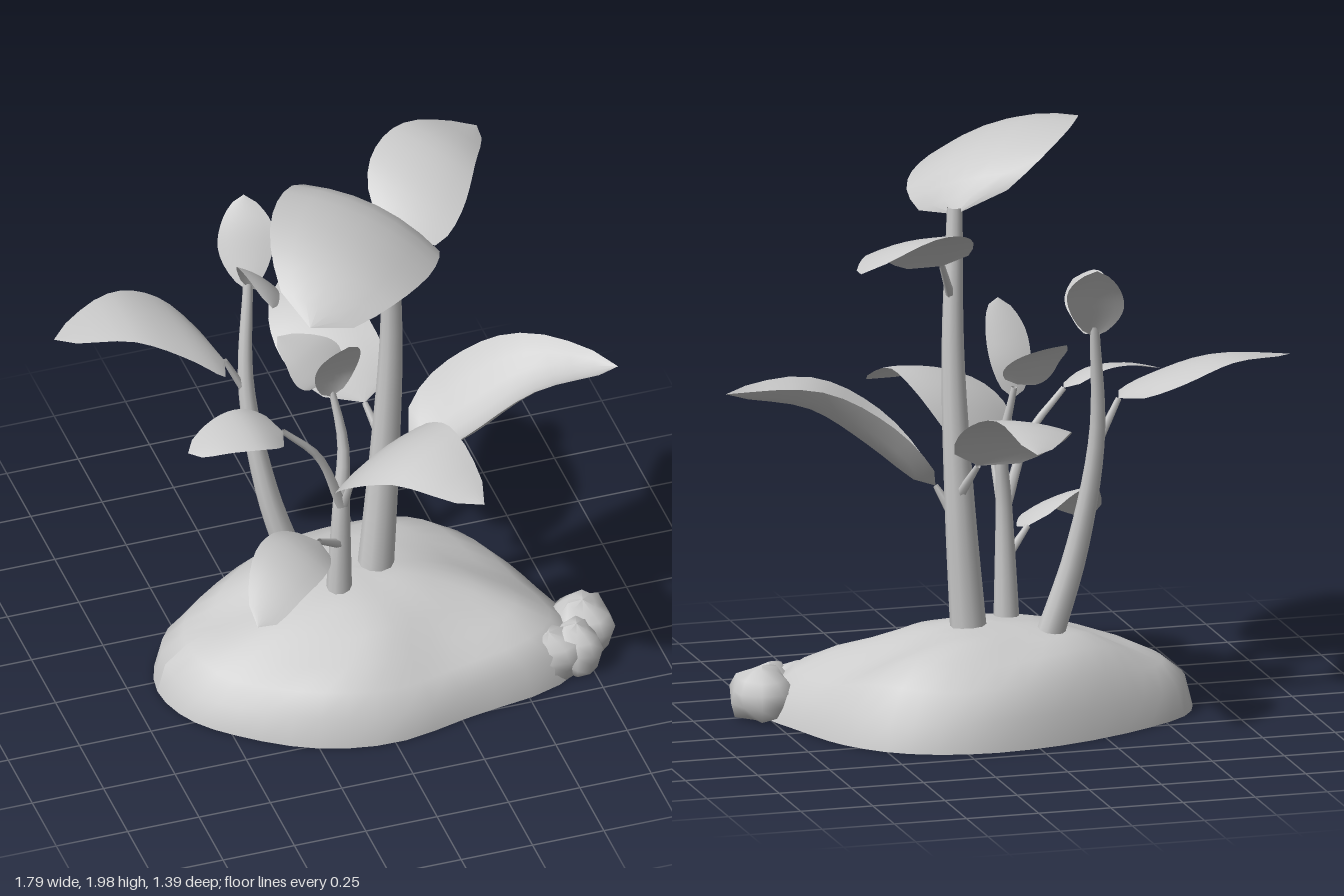
import * as THREE from 'three';

const material = new THREE.MeshStandardMaterial({ color: 0xcccccc, side: THREE.DoubleSide });
const vec = (p) => new THREE.Vector3(...p);
const curveOf = (points) => new THREE.CatmullRomCurve3(points.map(vec));

function mesh(name, geometry) {
  const m = new THREE.Mesh(geometry, material);
  m.name = name;
  return m;
}

// Surface from rows of points; every row has the same length
function loft(rows) {
  const n = rows[0].length;
  const index = [];
  for (let i = 0; i < rows.length - 1; i++) {
    for (let j = 0; j < n - 1; j++) {
      const a = i * n + j;
      index.push(a, a + 1, a + n, a + 1, a + n + 1, a + n);
    }
  }
  const g = new THREE.BufferGeometry().setFromPoints(rows.flat());
  g.setIndex(index);
  g.computeVertexNormals();
  return g;
}

// Round stalk tapering from r0 to r1
function stalk(points, r0, r1, segments = 12, sides = 8) {
  const curve = curveOf(points);
  const g = new THREE.TubeGeometry(curve, segments, 1, sides);
  const pos = g.attributes.position;
  const p = new THREE.Vector3();
  for (let i = 0; i < pos.count; i++) {
    const t = Math.floor(i / (sides + 1)) / segments;
    const c = curve.getPointAt(t);
    p.fromBufferAttribute(pos, i).sub(c).multiplyScalar(r0 + (r1 - r0) * t).add(c);
    pos.setXYZ(i, p.x, p.y, p.z);
  }
  return g;
}

// Blade along a midrib; half is the vector from midrib to one edge.
// A lower peak moves the widest part to the base, a lower blunt fills the ends,
// a positive fold domes the blade and a negative one cups it.
function blade(mid, half, peak, blunt, fold) {
  const curve = curveOf(mid);
  const side = vec(half);
  const rows = [];
  for (let i = 0; i <= 12; i++) {
    const t = i / 12;
    const w = Math.pow(Math.max(0, Math.sin(Math.PI * Math.pow(t, peak))), blunt);
    const up = new THREE.Vector3().crossVectors(curve.getTangent(t), side).normalize();
    if (up.y < 0) up.negate();
    const row = [];
    for (let j = -3; j <= 3; j++) {
      const u = j / 3;
      row.push(curve.getPoint(t)
        .addScaledVector(side, w * u)
        .addScaledVector(up, fold * side.length() * w * (1 - 2 * u * u)));
    }
    rows.push(row);
  }
  return loft(rows);
}

function leaf(name, { petiole = [], mid, half, peak = 0.68, blunt = 0.65, fold = 0.05, r = 0.016 }) {
  const g = new THREE.Group();
  g.name = name;
  g.add(mesh('blade', blade(mid, half, peak, blunt, fold)));
  if (petiole.length) g.add(mesh('petiole', stalk([...petiole, mid[0]], r, 0.01, 8, 6)));
  return g;
}

// Hollow soil mound, open underneath: sloping in front, fuller at the back
function mound() {
  const outline = new THREE.CatmullRomCurve3([
    [-0.66, 0.05], [-0.61, 0.23], [-0.47, 0.38], [-0.25, 0.52], [0, 0.57], [0.3, 0.51],
    [0.62, 0.44], [0.76, 0.3], [0.69, 0], [0.61, -0.2], [0.46, -0.36], [0.22, -0.44],
    [-0.08, -0.41], [-0.4, -0.28], [-0.6, -0.13],
  ].map(([x, z]) => new THREE.Vector3(x, 0, z)), true);
  // Scale of the outline, height in front, height at the back
  const profile = [[0, 0.33, 0.33], [0.2, 0.325, 0.328], [0.35, 0.305, 0.325], [0.52, 0.26, 0.31],
    [0.7, 0.21, 0.27], [0.85, 0.16, 0.2], [0.96, 0.1, 0.1], [1, 0, 0]];
  const rows = profile.map(([s, front, back]) => {
    const row = [];
    for (let j = 0; j <= 40; j++) {
      const p = outline.getPoint((j % 40) / 40);
      const b = THREE.MathUtils.smoothstep(-p.z, -0.05, 0.38);
      const bump = front > 0 && s > 0.5 ? 0.008 * Math.sin(j * Math.PI / 4 + s * 9) : 0;
      row.push(new THREE.Vector3(0.03 + (p.x - 0.03) * s,
        front + (back - front) * b + bump, 0.02 + (p.z - 0.02) * s));
    }
    return row;
  });
  return loft(rows);
}

// Lumpy stone with its underside cut flat at the ground
function stone(at, size) {
  const g = new THREE.SphereGeometry(1, 10, 7);
  const pos = g.attributes.position;
  for (let i = 0; i < pos.count; i++) {
    const [x, y, z] = [pos.getX(i), pos.getY(i), pos.getZ(i)];
    const k = 1 + 0.1 * Math.sin(4 * x + 3 * y + 5 * z);
    pos.setXYZ(i, at[0] + x * k * size[0], Math.max(0, at[1] + y * k * size[1]), at[2] + z * k * size[2]);
  }
  g.computeVertexNormals();
  return g;
}

export function createModel() {
  const model = new THREE.Group();
  model.name = 'plantOnMound';
  model.add(mesh('soilMound', mound()));

  // Stones at the mound's left front edge
  [[[0.61, 0.06, 0.35], [0.14, 0.095, 0.095]],
   [[0.765, 0.075, 0.24], [0.11, 0.1, 0.125]],
   [[0.71, 0.06, 0.34], [0.09, 0.1, 0.1]]].forEach(([at, size], i) => {
    model.add(mesh(`stone${i + 1}`, stone(at, size)));
  });

  // Three main stems
  model.add(
    mesh('tallStem', stalk([[0.115, 0.27, 0.01], [0.15, 0.75, 0.005], [0.168, 1.25, 0.022],
      [0.155, 1.75, 0.045]], 0.062, 0.026, 16, 10)),
    mesh('bentStem', stalk([[-0.125, 0.27, -0.09], [-0.215, 0.6, -0.135], [-0.265, 1.0, -0.2],
      [-0.24, 1.39, -0.255]], 0.048, 0.016, 16, 10)),
    mesh('frontStem', stalk([[-0.04, 0.27, 0.095], [-0.032, 0.7, 0.1], [-0.02, 0.9, 0.08],
      [-0.05, 1.12, 0.04]], 0.045, 0.01, 14, 10)),
  );

  // Leaves of the tall stem
  model.add(
    leaf('crownLeaf', { peak: 0.88, blunt: 0.5, fold: 0.09,
      mid: [[0.155, 1.73, 0.03], [0.08, 1.86, 0.11], [-0.04, 1.915, 0.27], [-0.18, 1.915, 0.45],
        [-0.31, 1.82, 0.6]],
      half: [0.21, -0.085, 0.17] }),
    leaf('upperBackLeaf', { petiole: [[0.17, 1.44, 0.03]],
      mid: [[0.23, 1.58, -0.06], [0.33, 1.69, -0.2], [0.46, 1.735, -0.34], [0.63, 1.68, -0.46]],
      half: [0.12, -0.055, 0.12] }),
    leaf('leftLeaf', { petiole: [[0.18, 0.73, 0.03]], r: 0.02, fold: -0.28,
      mid: [[0.22, 0.8, 0.05], [0.4, 0.98, 0.12], [0.61, 1.105, 0.16], [0.89, 1.115, 0.24]],
      half: [-0.03, -0.015, 0.19] }),
    leaf('backLeaf', { petiole: [[0.16, 0.77, -0.01]], r: 0.02,
      mid: [[0.12, 0.9, -0.11], [0.05, 1.04, -0.27], [0.03, 1.12, -0.46], [0.09, 1.08, -0.7]],
      half: [0.16, 0.03, 0.02] }),
  );

  // Leaves of the bent stem
  model.add(
    leaf('rightLeaf', { petiole: [[-0.27, 0.98, -0.2]], peak: 0.62,
      mid: [[-0.34, 1.12, -0.2], [-0.47, 1.21, -0.31], [-0.65, 1.275, -0.345], [-0.9, 1.26, -0.315]],
      half: [0.01, -0.02, 0.165] }),
    leaf('backBud', { peak: 1,
      mid: [[-0.24, 1.35, -0.25], [-0.23, 1.45, -0.31], [-0.21, 1.54, -0.36], [-0.2, 1.62, -0.42]],
      half: [0.09, 0, 0.03] }),
    leaf('frontBud', { peak: 0.9,
      mid: [[-0.24, 1.36, -0.25], [-0.24, 1.46, -0.19], [-0.24, 1.49, -0.09], [-0.25, 1.48, 0.03]],
      half: [0.065, -0.055, 0] }),
  );

  // Leaves of the front stem
  model.add(
    leaf('frontLeaf', { petiole: [[-0.03, 0.68, 0.12]],
      mid: [[-0.02, 0.84, 0.19], [0.04, 1.02, 0.33], [0.13, 1.09, 0.48], [0.27, 1.01, 0.69]],
      half: [0.17, 0.04, -0.08] }),
    leaf('rightMiddleLeaf', { petiole: [[-0.04, 0.68, 0.12], [-0.13, 0.92, 0.15]], r: 0.02,
      mid: [[-0.26, 1.07, 0.17], [-0.37, 1.125, 0.19], [-0.48, 1.13, 0.2], [-0.61, 1.1, 0.22]],
      half: [0.01, -0.02, 0.095], blunt: 0.5 }),
    leaf('lowLeaf', { petiole: [[-0.05, 0.52, 0.12]], peak: 0.9, blunt: 0.5,
      mid: [[-0.14, 0.6, 0.19], [-0.24, 0.65, 0.29], [-0.35, 0.64, 0.39], [-0.46, 0.54, 0.5]],
      half: [0.075, -0.05, 0.075] }),
    leaf('smallSideLeaf', {
      mid: [[-0.06, 1.13, 0.03], [-0.08, 1.18, 0], [-0.12, 1.23, -0.03], [-0.2, 1.28, -0.07]],
      half: [0.09, 0.03, -0.04] }),
    leaf('smallUprightLeaf', { peak: 1, blunt: 0.5,
      mid: [[-0.05, 1.08, 0.05], [-0.05, 1.19, 0.08], [-0.05, 1.3, 0.14], [-0.04, 1.39, 0.2]],
      half: [0.075, 0.01, 0] }),
  );
  return model;
}
